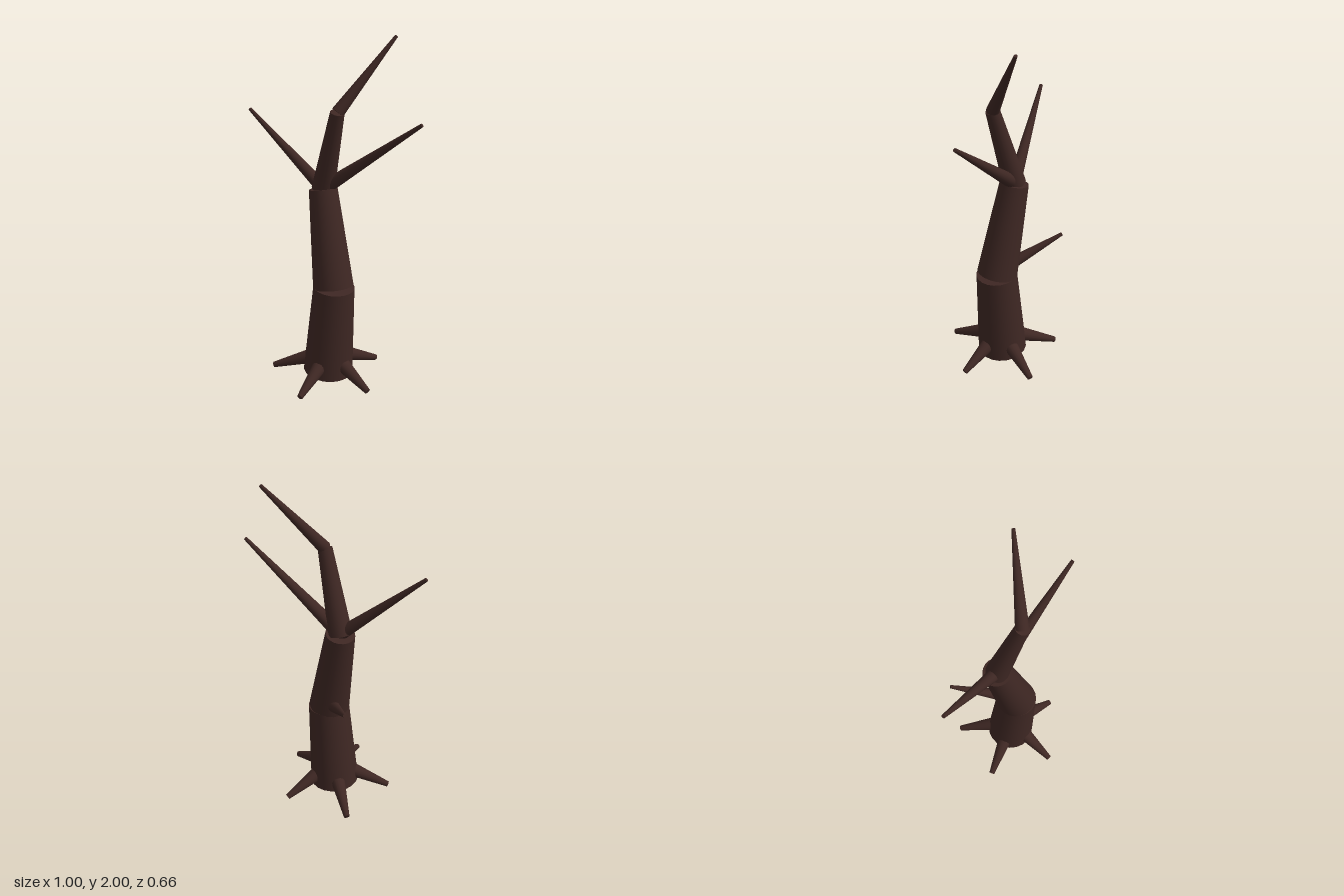
import * as THREE from 'three';

const bark = new THREE.MeshStandardMaterial({ color: 0x3e2723 });
bark.name = 'dark bark';

// Tapered limb running from point a (radius ra) to point b (radius rb)
function limb(name, a, b, ra, rb, sides = 16) {
  const start = new THREE.Vector3(...a);
  const end = new THREE.Vector3(...b);
  const axis = end.clone().sub(start);
  const mesh = new THREE.Mesh(new THREE.CylinderGeometry(rb, ra, axis.length(), sides), bark);
  mesh.name = name;
  mesh.position.copy(start).add(end).multiplyScalar(0.5);
  mesh.quaternion.setFromUnitVectors(new THREE.Vector3(0, 1, 0), axis.normalize());
  return mesh;
}

export function createModel() {
  const tree = new THREE.Group();
  tree.name = 'bareTree';

  // Crooked trunk, bottom to top
  const fork = [-0.08, 1.152, -0.027];
  tree.add(
    limb('lowerTrunk', [-0.013, 0.035, 0], [0.035, 0.592, 0], 0.148, 0.12, 20),
    limb('middleTrunk', [0.03, 0.593, 0], fork, 0.118, 0.082, 20),
    limb('upperTrunk', fork, [0.06, 1.61, 0.002], 0.066, 0.039),
    limb('trunkTip', [0.06, 1.61, 0], [0.205, 1.996, -0.29], 0.036, 0.009),
  );

  // Side branches
  tree.add(
    limb('rightBranch', fork, [-0.494, 1.573, 0.15], 0.038, 0.01),
    limb('leftBranch', fork, [0.492, 1.583, -0.173], 0.042, 0.01),
    limb('stubBranch', [0, 0.62, -0.02], [-0.29, 0.808, -0.215], 0.04, 0.01),
  );

  // Roots splayed around the foot: tip x and z
  const tips = [[0.313, 0], [0.083, 0.32], [-0.293, 0.19], [-0.293, -0.19], [0.083, -0.32]];
  for (const [x, z] of tips) {
    const s = 0.09 / Math.hypot(x, z);
    tree.add(limb('root', [x * s, 0.117, z * s], [x, 0.017, z], 0.047, 0.017));
  }
  return tree;
}
